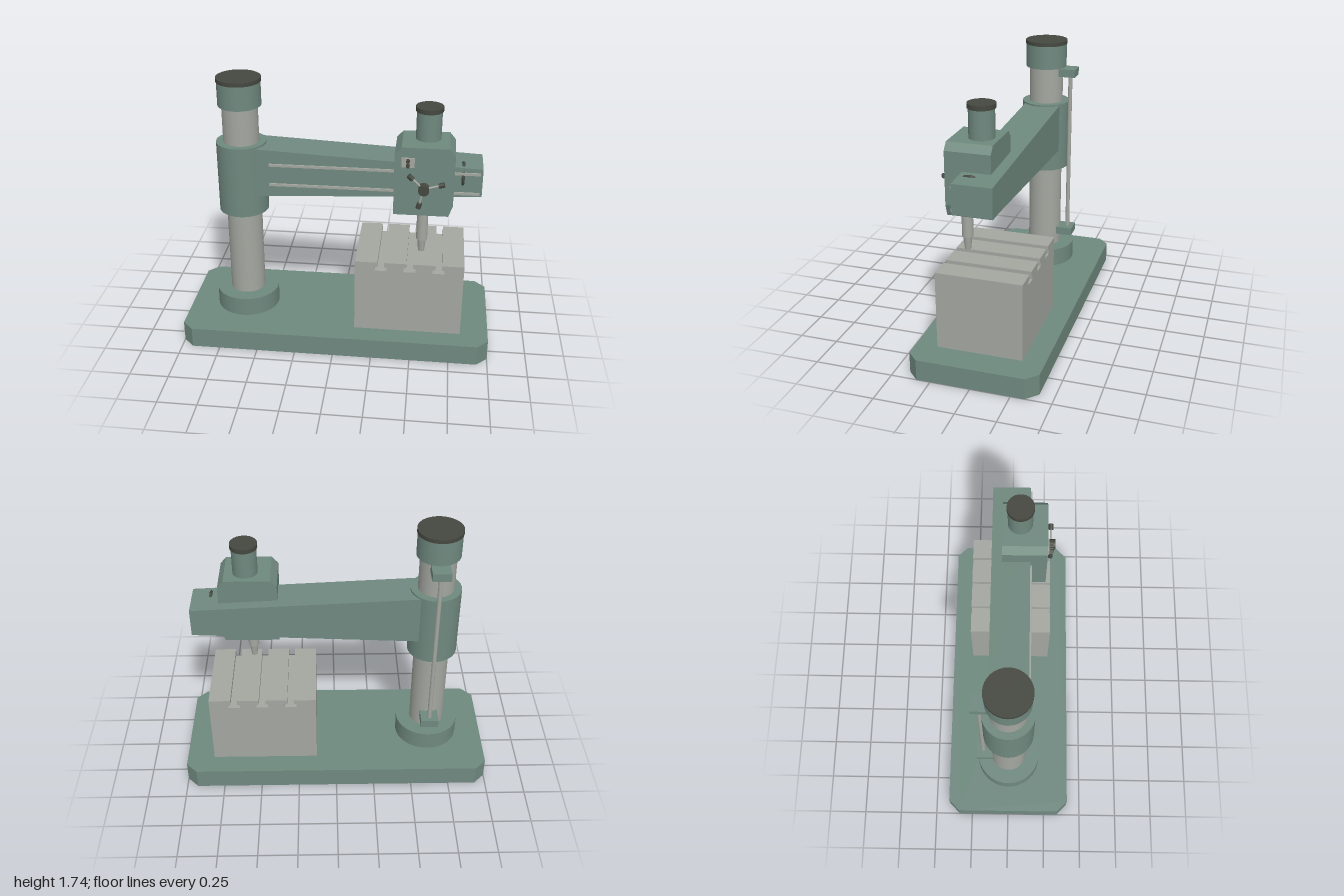
import * as THREE from 'three';

const paint = new THREE.MeshStandardMaterial({ color: 0x6f897f });
paint.name = 'greenPaint';
const steel = new THREE.MeshStandardMaterial({ color: 0xa4a7a0 });
steel.name = 'steel';
const dark = new THREE.MeshStandardMaterial({ color: 0x454840 });
dark.name = 'darkTrim';

export function createModel() {
  const model = new THREE.Group();
  model.name = 'radialDrill';

  const add = (name, geometry, material, x = 0, y = 0, z = 0, parent = model) => {
    const mesh = new THREE.Mesh(geometry, material);
    mesh.name = name;
    mesh.position.set(x, y, z);
    parent.add(mesh);
    return mesh;
  };
  // box given by its extents on each axis
  const box = (name, material, [x0, x1], [y0, y1], [z0, z1]) =>
    add(name, new THREE.BoxGeometry(x1 - x0, y1 - y0, z1 - z0), material,
      (x0 + x1) / 2, (y0 + y1) / 2, (z0 + z1) / 2);
  // upright cylinder between two heights
  const post = (name, material, r, y0, y1, x, z, sides = 32) =>
    add(name, new THREE.CylinderGeometry(r, r, y1 - y0, sides), material, x, (y0 + y1) / 2, z);
  // outline in x and y, extruded from z0 to z1
  const slab = (points, z0, z1) =>
    new THREE.ExtrudeGeometry(new THREE.Shape(points.map(([x, y]) => new THREE.Vector2(x, y))),
      { depth: z1 - z0, bevelEnabled: false }).translate(0, 0, z0);

  // base plate with cut corners
  const bx = 1, bz = 0.407, c = 0.07;
  const base = slab([[-bx + c, -bz], [bx - c, -bz], [bx, -bz + c], [bx, bz - c],
    [bx - c, bz], [-bx + c, bz], [-bx, bz - c], [-bx, -bz + c]], 0, 0.135);
  add('basePlate', base.rotateX(-Math.PI / 2), paint);

  // column, its foot, clamp collar and cap
  const cx = -0.625;
  post('columnFoot', paint, 0.207, 0.135, 0.26, cx, 0);
  post('column', steel, 0.114, 0.26, 1.56, cx, 0);
  post('armCollar', paint, 0.16, 0.85, 1.32, cx, 0);
  post('columnHead', paint, 0.137, 1.56, 1.715, cx, 0);
  post('columnCap', dark, 0.141, 1.715, 1.74, cx, 0);

  // lifting screw behind the column, held by two brackets
  post('liftScrew', steel, 0.014, 0.36, 1.52, cx, -0.17, 16);
  for (const y of [0.335, 1.5]) {
    box('screwBracket', paint, [cx - 0.058, cx + 0.058], [y, y + 0.053], [-0.213, -0.1]);
  }

  // tapered arm with two guide rails
  add('arm', slab([[-0.55, 0.988], [0.9, 1.058], [0.9, 1.242], [-0.55, 1.312]], -0.122, 0.12), paint);
  for (const y of [1.077, 1.21]) {
    box('guideRail', steel, [-0.43, 0.885], [y - 0.008, y + 0.008], [0.115, 0.131]);
  }

  // small handwheel let into the arm
  add('armHandwheel', new THREE.TorusGeometry(0.071, 0.01, 10, 32), dark, 0.78, 1.178, 0.055)
    .rotation.y = Math.PI / 2;

  // drill head with chamfered shoulders
  add('drillHead', slab([[0.36, 0.963], [0.7, 0.963], [0.725, 1.035], [0.725, 1.365],
    [0.688, 1.41], [0.4, 1.41], [0.36, 1.365]], -0.055, 0.226), paint);
  post('motor', paint, 0.078, 1.41, 1.588, 0.557, 0.055);
  post('motorCap', dark, 0.085, 1.588, 1.617, 0.557, 0.055);

  // spindle with tapered nose
  const profile = [[0, 0.685], [0.019, 0.685], [0.028, 0.77], [0.035, 0.77], [0.035, 0.97]]
    .map(([r, y]) => new THREE.Vector2(r, y));
  // each straight run is its own lathe, so the steps stay sharp
  for (let i = 0; i < profile.length - 1; i++) {
    add('spindle', new THREE.LatheGeometry([profile[i], profile[i + 1]], 24), steel, 0.543, 0, 0.161);
  }

  // feed wheel: hub and three knobbed spokes
  const feed = new THREE.Group();
  feed.name = 'feedWheel';
  feed.position.set(0.543, 1.153, 0.253);
  model.add(feed);
  add('feedHub', new THREE.CylinderGeometry(0.033, 0.033, 0.056, 24).rotateX(Math.PI / 2), dark, 0, 0, 0, feed);
  for (let i = 0; i < 3; i++) {
    const spoke = new THREE.Group();
    spoke.name = 'feedSpoke';
    spoke.rotation.z = (17 + i * 120) * Math.PI / 180;
    feed.add(spoke);
    add('spokeRod', new THREE.CylinderGeometry(0.007, 0.007, 0.1, 10).rotateZ(Math.PI / 2), steel, 0.05, 0, 0, spoke);
    add('spokeKnob', new THREE.CylinderGeometry(0.016, 0.016, 0.036, 16).rotateZ(Math.PI / 2), dark, 0.112, 0, 0, spoke);
  }

  // switch panel with two buttons
  box('switchPanel', steel, [0.403, 0.482], [1.285, 1.346], [0.22, 0.236]);
  for (const y of [1.302, 1.332]) {
    add('switchButton', new THREE.CylinderGeometry(0.011, 0.011, 0.03, 16).rotateX(Math.PI / 2),
      dark, 0.442, y, 0.247);
  }

  // work table with three T-slots cut into its top
  const top = 0.635, neck = 0.021, foot = 0.038;
  const outline = [[0.13, 0.135], [0.82, 0.135], [0.82, top]];
  for (const x of [0.66, 0.477, 0.294]) {
    outline.push([x + neck, top], [x + neck, 0.603], [x + foot, 0.603], [x + foot, 0.577],
      [x - foot, 0.577], [x - foot, 0.603], [x - neck, 0.603], [x - neck, top]);
  }
  outline.push([0.13, top]);
  add('workTable', slab(outline, -0.27, 0.27), steel);

  return model;
}
